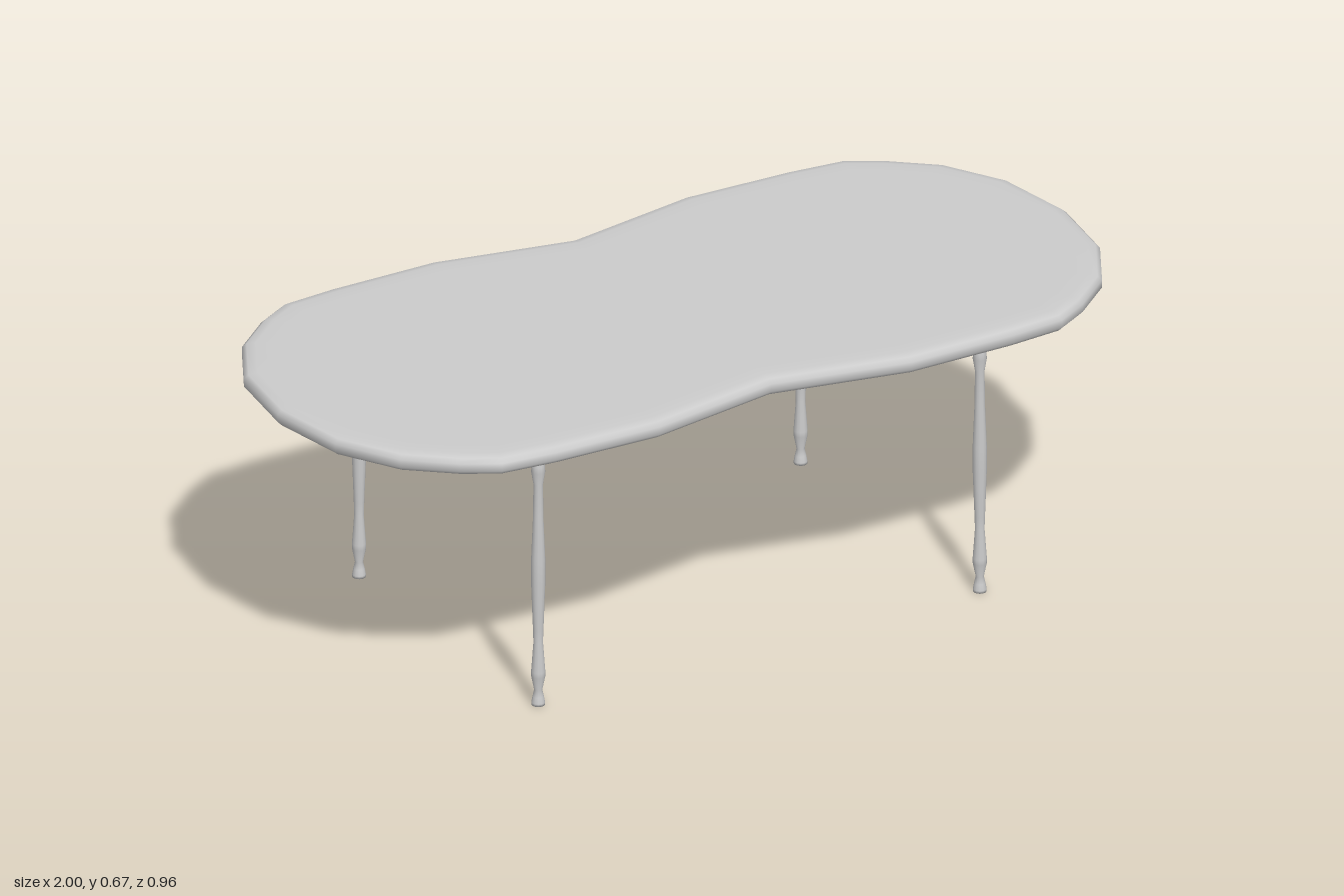
import * as THREE from 'three';

const material = new THREE.MeshStandardMaterial({ color: 0xcccccc });

// Quarter outline of the waisted top, from the waist to the tip (x, z)
const QUARTER = [
  [0, 0.42], [0.32, 0.482], [0.58, 0.478], [0.71, 0.466],
  [0.79, 0.42], [0.89, 0.335], [0.97, 0.193], [1, 0],
];

// Edge section of the top, from underside to upper face (inset, y)
const EDGE = [
  [0.07, 0.62], [0.03, 0.62], [0.01, 0.624], [0, 0.634],
  [0, 0.652], [0.01, 0.661], [0.03, 0.665], [0.07, 0.665],
];

// Mirror the quarter into a closed loop
function fullOutline() {
  const half = [...QUARTER, ...QUARTER.slice(0, -1).reverse().map(([x, z]) => [x, -z])];
  const other = half.slice(1, -1).reverse().map(([x, z]) => [-x, z]);
  return [...half, ...other].map(([x, z]) => new THREE.Vector2(x, z));
}

// Move each outline point inwards along its corner bisector
function insetLoop(loop, d) {
  const n = loop.length;
  return loop.map((p, i) => {
    const a = p.clone().sub(loop[(i + n - 1) % n]).normalize();
    const b = loop[(i + 1) % n].clone().sub(p).normalize();
    const inward = new THREE.Vector2(-a.y - b.y, a.x + b.x).normalize();
    if (inward.dot(p) > 0) inward.negate();
    return p.clone().addScaledVector(inward, d);
  });
}

// Loft the rounded rim and close it with two flat fans
function topGeometry() {
  const loop = fullOutline();
  const n = loop.length;
  const pos = [];
  const idx = [];
  for (const [d, y] of EDGE) for (const p of insetLoop(loop, d)) pos.push(p.x, y, p.y);
  const last = (EDGE.length - 1) * n;
  const bottom = pos.length / 3;
  pos.push(0, EDGE[0][1], 0, 0, EDGE[EDGE.length - 1][1], 0);
  for (let i = 0; i < n; i++) {
    const j = (i + 1) % n;
    for (let r = 0; r < last; r += n) {
      idx.push(r + i, r + j, r + n + j, r + i, r + n + j, r + n + i);
    }
    idx.push(bottom, j, i, bottom + 1, last + i, last + j);
  }
  // The loop runs from +z towards +x, so outward faces are counter-clockwise
  const g = new THREE.BufferGeometry();
  g.setAttribute('position', new THREE.Float32BufferAttribute(pos, 3));
  g.setIndex(idx);
  g.computeVertexNormals();
  return g;
}

// Turned leg profile (radius, y)
const LEG = [
  [0, 0], [0.015, 0], [0.015, 0.006], [0.0125, 0.02], [0.009, 0.036],
  [0.0155, 0.068], [0.0155, 0.08], [0.0105, 0.15], [0.0115, 0.18],
  [0.0155, 0.29], [0.0155, 0.35], [0.0115, 0.45], [0.0105, 0.53],
  [0.0155, 0.56], [0.0145, 0.575], [0.011, 0.6], [0.0115, 0.625],
].map(([r, y]) => new THREE.Vector2(r, y));

export function createModel() {
  const table = new THREE.Group();
  table.name = 'table';

  const top = new THREE.Mesh(topGeometry(), material);
  top.name = 'tabletop';
  table.add(top);

  // Four matching legs
  const legGeometry = new THREE.LatheGeometry(LEG, 12);
  for (const sx of [-1, 1]) for (const sz of [-1, 1]) {
    const leg = new THREE.Mesh(legGeometry, material);
    leg.name = `${sz > 0 ? 'front' : 'back'}${sx > 0 ? 'Left' : 'Right'}Leg`;
    leg.position.set(sx * 0.56 - 0.003, 0, sz * 0.379 - 0.006);
    table.add(leg);
  }
  return table;
}
